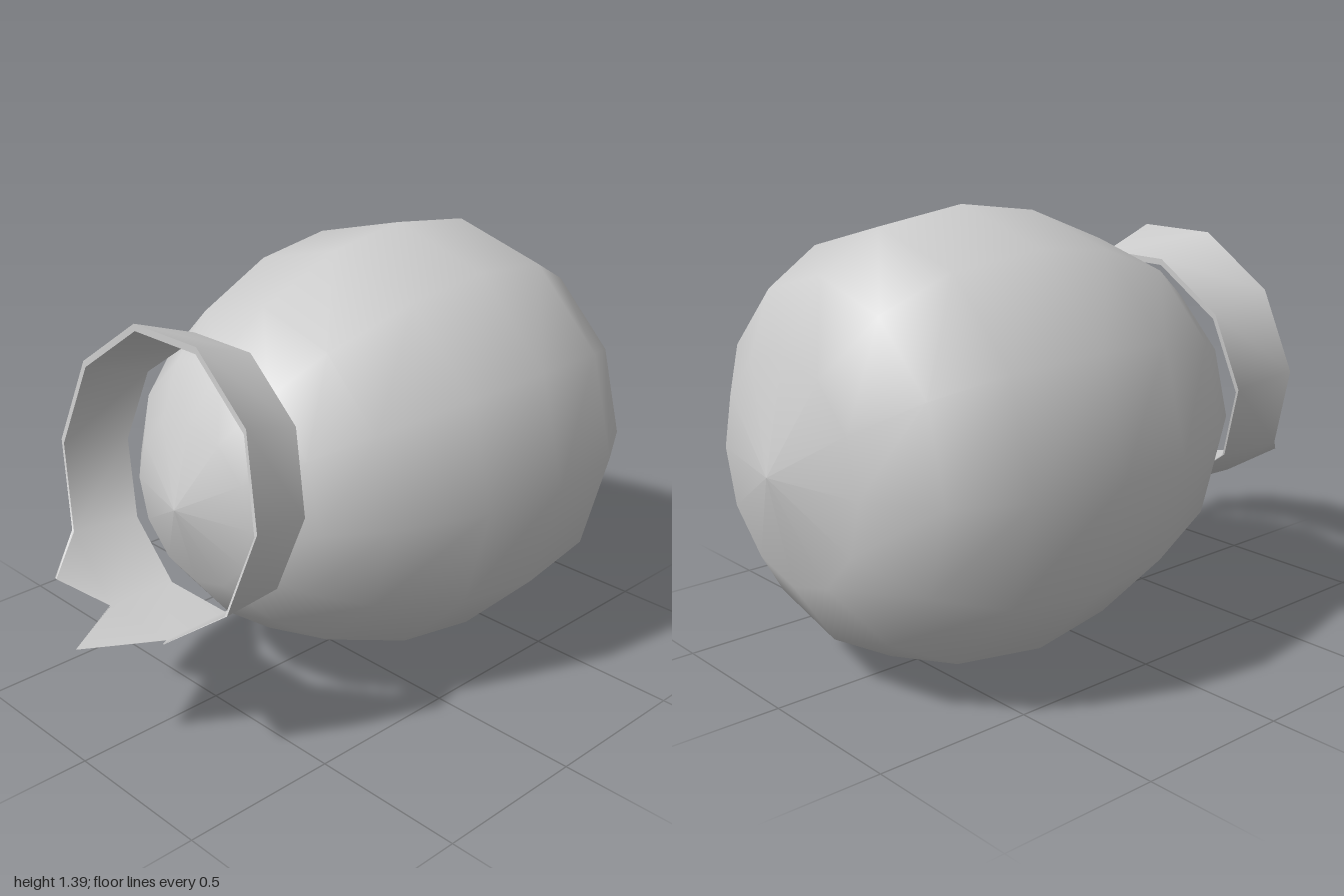
import * as THREE from 'three';

const material = () => new THREE.MeshStandardMaterial({ color: 0xcccccc });

// Egg-shaped body: 12-sided lathe laid along z
function makeBody() {
  const profile = [ // [radius, z], back to front
    [0, -1], [0.34, -0.93], [0.54, -0.8], [0.655, -0.6], [0.695, -0.3],
    [0.655, -0.02], [0.54, 0.27], [0.416, 0.436], [0.26, 0.56], [0, 0.63],
  ].map(([r, z]) => new THREE.Vector2(r, z));
  const geometry = new THREE.LatheGeometry(profile, 12);
  geometry.rotateX(Math.PI / 2);
  geometry.translate(0, 0.695, 0);
  const mesh = new THREE.Mesh(geometry, material());
  mesh.name = 'body';
  return mesh;
}

// Mirrors a half loop (bottom to top, on +x) into a full counterclockwise loop
const mirrorLoop = (half) => [
  ...half, ...half.map(([x, y, z]) => [-x, y, z]).reverse(),
];

// The inner surface shrinks towards the collar's bottom, so the wall tapers to nothing there
const BOTTOM = 0.38;
const shrink = ([x, y, z]) => [x * 0.975, BOTTOM + (y - BOTTOM) * 0.975, z];

function meshFrom(points, index, name) {
  const geometry = new THREE.BufferGeometry();
  geometry.setAttribute('position', new THREE.Float32BufferAttribute(points.flat(), 3));
  geometry.setIndex(index);
  geometry.computeVertexNormals();
  const mesh = new THREE.Mesh(geometry, material());
  mesh.name = name;
  return mesh;
}

// Tilted ten-sided collar with three points along its lower front edge
function makeCollar() {
  const back = mirrorLoop([
    [0.13, 0.38, 0.555], [0.335, 0.53, 0.53], [0.415, 0.77, 0.493],
    [0.34, 1.01, 0.455], [0.125, 1.165, 0.43],
  ]);
  const front = mirrorLoop([
    [0.14, 0.38, 0.78], [0.37, 0.54, 0.745], [0.455, 0.805, 0.703],
    [0.37, 1.07, 0.66], [0.14, 1.235, 0.635],
  ]);
  const n = front.length;
  // Tips keyed by the side they grow from
  const tips = { 0: [0.265, 0.465, 0.885], 8: [-0.265, 0.465, 0.885], 9: [0, 0.38, 1] };

  // Walls
  const points = [...back, ...front];
  const wall = [];
  for (let i = 0; i < n; i++) {
    const j = (i + 1) % n;
    wall.push(i, j, n + j, i, n + j, n + i);
    if (tips[i]) {
      wall.push(n + i, n + j, points.length);
      points.push(tips[i]);
    }
  }
  const outer = meshFrom(points, wall, 'collarOuter');
  const inner = meshFrom(points.map(shrink), [...wall].reverse(), 'collarInner');

  // Rims joining the two walls, following the tips at the front
  const edge = front.flatMap((p, i) => (tips[i] ? [p, tips[i]] : [p]));
  const rim = (loop, name) => {
    const m = loop.length;
    const index = [];
    for (let i = 0; i < m; i++) {
      const j = (i + 1) % m;
      index.push(i, j, m + j, i, m + j, m + i);
    }
    return meshFrom([...loop, ...loop.map(shrink)], index, name);
  };

  const group = new THREE.Group();
  group.name = 'collar';
  group.add(outer, inner, rim(edge, 'collarFrontRim'), rim([...back].reverse(), 'collarBackRim'));
  return group;
}

export function createModel() {
  const model = new THREE.Group();
  model.name = 'model';
  model.add(makeBody(), makeCollar());
  return model;
}
